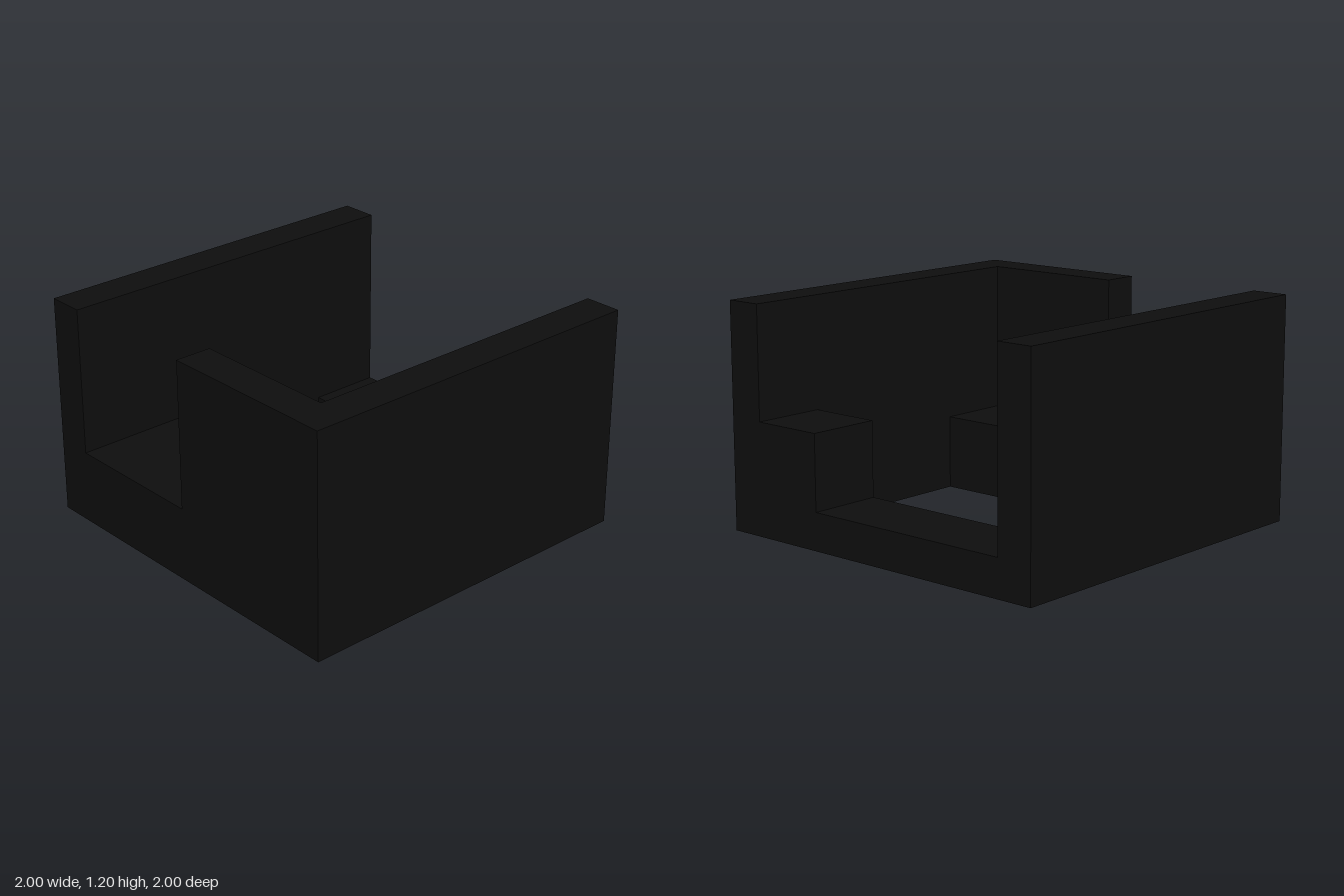
import * as THREE from 'three';

export function createModel() {
  const group = new THREE.Group();
  const black = new THREE.MeshStandardMaterial({ color: 0x0e0e0e });
  black.name = 'black';

  // Box given by its minimum and maximum corners
  function block(name, [x0, y0, z0], [x1, y1, z1]) {
    const geometry = new THREE.BoxGeometry(x1 - x0, y1 - y0, z1 - z0);
    geometry.translate((x0 + x1) / 2, (y0 + y1) / 2, (z0 + z1) / 2);
    const mesh = new THREE.Mesh(geometry, black);
    mesh.name = name;
    group.add(mesh);
  }

  const rect = (C, x0, y0, x1, y1) => new C([
    new THREE.Vector2(x0, y0), new THREE.Vector2(x1, y0),
    new THREE.Vector2(x1, y1), new THREE.Vector2(x0, y1),
  ]);

  // Base slab with a rectangular opening (shape y becomes -z)
  const outline = rect(THREE.Shape, -1, -1, 1, 1);
  outline.holes.push(rect(THREE.Path, -0.8, -0.4, 0.8, 0.6));
  const baseGeometry = new THREE.ExtrudeGeometry(outline, { depth: 0.2, bevelEnabled: false });
  baseGeometry.rotateX(-Math.PI / 2);
  const base = new THREE.Mesh(baseGeometry, black);
  base.name = 'baseFrame';
  group.add(base);

  // Full-length side walls
  block('leftWall', [0.8, 0.2, -1], [1, 1.2, 1]);
  block('rightWall', [-1, 0.2, -1], [-0.8, 1.2, 1]);

  // Front ledge and the tall panel on half of it
  block('frontLedge', [-0.8, 0.2, 0.4], [0.8, 0.4, 1]);
  block('frontPanel', [0, 0.4, 0.8], [0.8, 1.2, 1]);

  // Raised block in the back corner
  block('backStep', [0.4, 0.2, -1], [0.8, 0.6, -0.6]);

  return group;
}
